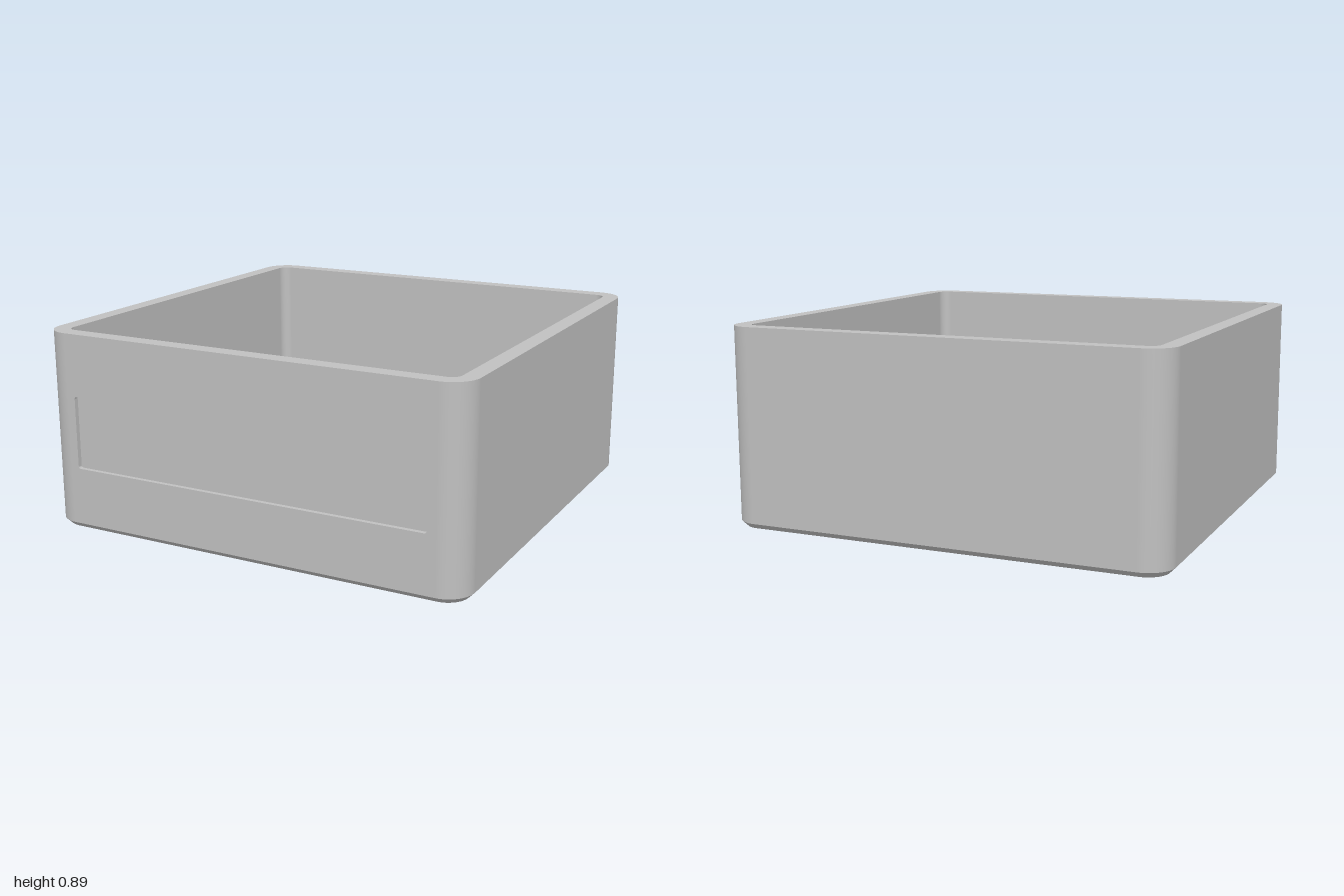
import * as THREE from 'three';

const ARC = 12; // segments per rounded corner

// Outline of a rounded square, as [x, z, normalX, normalZ], starting at the front
function ring(half, radius) {
  const points = [];
  for (let k = 0; k < 4; k++) {
    const mid = (k + 0.5) * Math.PI / 2;
    const cx = Math.sign(Math.sin(mid)) * (half - radius);
    const cz = Math.sign(Math.cos(mid)) * (half - radius);
    for (let i = 0; i <= ARC; i++) {
      const a = (k + i / ARC) * Math.PI / 2;
      const nx = Math.sin(a), nz = Math.cos(a);
      points.push([cx + radius * nx, cz + radius * nz, nx, nz]);
    }
  }
  return points;
}

// Band between two rounded squares [half, radius, y]; openFront leaves out the flat front
function band(from, to, openFront) {
  const rise = to[2] - from[2], spread = to[0] - from[0];
  const len = Math.hypot(rise, spread);
  const pos = [], nor = [], index = [];
  for (const [half, radius, y] of [from, to]) {
    for (const [x, z, nx, nz] of ring(half, radius)) {
      pos.push(x, y, z);
      nor.push(nx * rise / len, -spread / len, nz * rise / len);
    }
  }
  const n = 4 * (ARC + 1);
  for (let i = 0; i < (openFront ? n - 1 : n); i++) {
    const j = (i + 1) % n;
    index.push(i, j, n + j, i, n + j, n + i);
  }
  const geo = new THREE.BufferGeometry();
  geo.setAttribute('position', new THREE.Float32BufferAttribute(pos, 3));
  geo.setAttribute('normal', new THREE.Float32BufferAttribute(nor, 3));
  geo.setIndex(index);
  return geo;
}

// Rectangle with rounded corners
function roundedRect(path, x0, y0, x1, y1, r) {
  path.moveTo(x0 + r, y0);
  path.lineTo(x1 - r, y0);
  path.absarc(x1 - r, y0 + r, r, -Math.PI / 2, 0);
  path.lineTo(x1, y1 - r);
  path.absarc(x1 - r, y1 - r, r, 0, Math.PI / 2);
  path.lineTo(x0 + r, y1);
  path.absarc(x0 + r, y1 - r, r, Math.PI / 2, Math.PI);
  path.lineTo(x0, y0 + r);
  path.absarc(x0 + r, y0 + r, r, Math.PI, Math.PI * 1.5);
  return path;
}

export function createModel() {
  const group = new THREE.Group();
  group.name = 'openBox';
  const grey = new THREE.MeshStandardMaterial({ color: 0xc0c0c0 });
  grey.name = 'grey';
  const add = (name, geo, z = 0) => {
    const mesh = new THREE.Mesh(geo, grey);
    mesh.name = name;
    mesh.position.z = z;
    group.add(mesh);
  };

  // Skin of the box, from the centre of the underside round to the centre of the floor
  const profile = [
    [0, 0, 0], [0.975, 0.095, 0], [1, 0.12, 0.025], [1, 0.12, 0.89],
    [0.925, 0.045, 0.89], [0.925, 0.045, 0.17], [0.845, 0.02, 0.09], [0, 0, 0.09],
  ];
  const names = ['underside', 'bottomChamfer', 'outerWall', 'rim', 'innerWall', 'floorBevel', 'floor'];
  names.forEach((name, i) => add(name, band(profile[i], profile[i + 1], name === 'outerWall')));

  // Flat front with a shallow label recess
  const depth = 0.02;
  const front = new THREE.Shape([
    new THREE.Vector2(-0.88, 0.025), new THREE.Vector2(0.88, 0.025),
    new THREE.Vector2(0.88, 0.89), new THREE.Vector2(-0.88, 0.89),
  ]);
  const recess = [-0.842, 0.283, 0.842, 0.61, 0.01];
  front.holes.push(roundedRect(new THREE.Path(), ...recess));
  add('frontWall', new THREE.ExtrudeGeometry(front, { depth, bevelEnabled: false, curveSegments: 4 }), 1 - depth);
  add('labelRecess', new THREE.ShapeGeometry(roundedRect(new THREE.Shape(), ...recess), 4), 1 - depth);

  return group;
}
